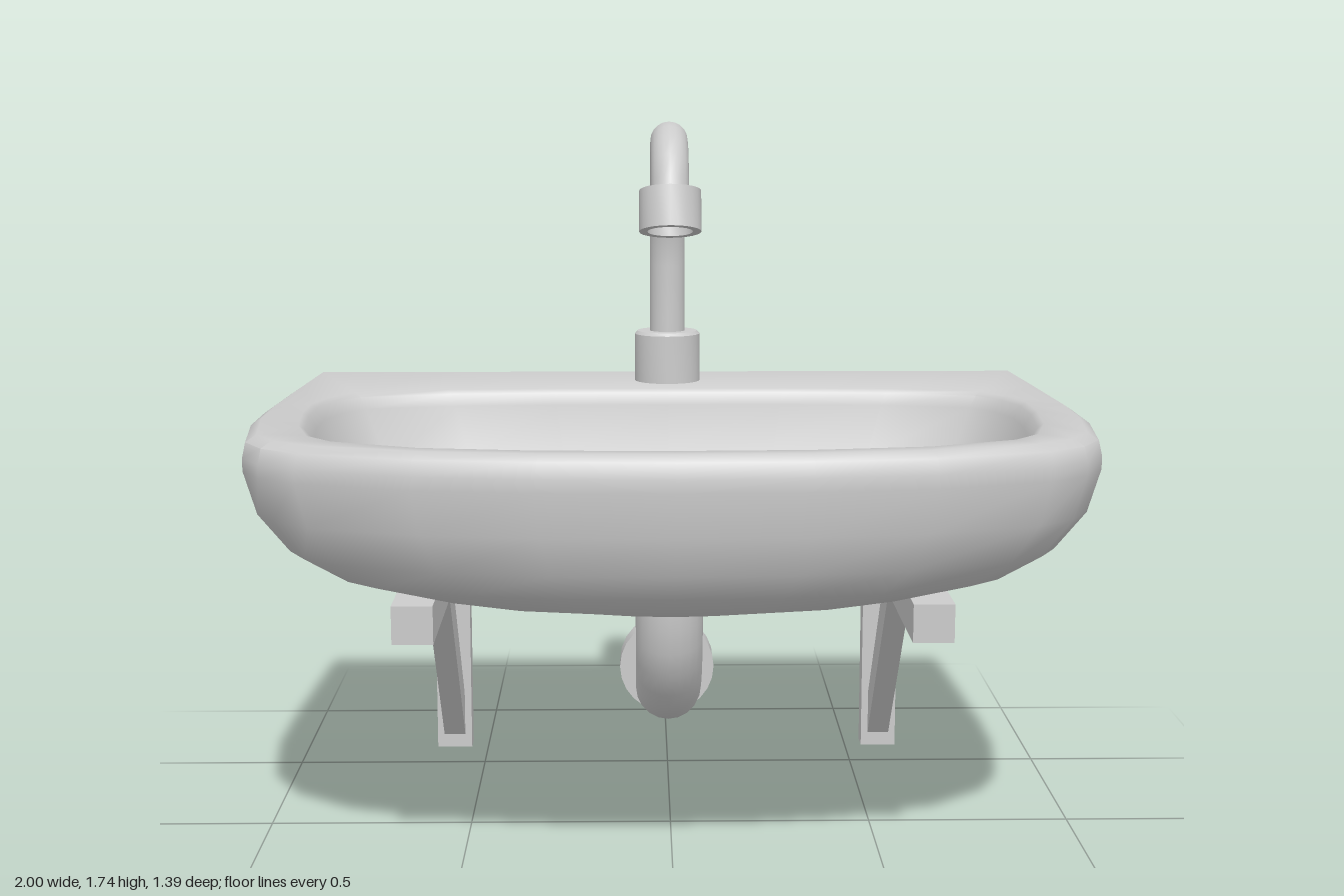
import * as THREE from 'three';
import { toCreasedNormals } from 'three/addons/utils/BufferGeometryUtils.js';

const material = new THREE.MeshStandardMaterial({ color: 0xcccccc });
const openMaterial = new THREE.MeshStandardMaterial({ color: 0xcccccc, side: THREE.DoubleSide });

function part(name, geometry, parent, mat = material) {
  const mesh = new THREE.Mesh(geometry, mat);
  mesh.name = name;
  parent.add(mesh);
  return mesh;
}

// Half outlines (x, z) from back centre round to front centre
const OUTER = [[0, -0.7], [0.3, -0.7], [0.6, -0.7], [0.97, -0.7], [0.985, -0.4], [1, -0.05], [1, 0.15],
  [0.97, 0.4], [0.92, 0.49], [0.83, 0.56], [0.57, 0.645], [0.3, 0.68], [0, 0.69]];
const OPENING = [[0, -0.36], [0.3, -0.36], [0.57, -0.345], [0.8, -0.29], [0.855, -0.21], [0.885, -0.1], [0.885, 0.05],
  [0.865, 0.25], [0.825, 0.4], [0.76, 0.48], [0.56, 0.57], [0.3, 0.61], [0, 0.62]];

// Full ring at height y; x scales about the middle, z is remapped by zMap
function ring(half, y, sx, zMap) {
  const right = half.map(([x, z]) => [x * sx, y, zMap(z)]);
  const left = right.slice(1, -1).reverse().map(([x, h, z]) => [-x, h, z]);
  return [...right, ...left];
}

function loft(rings) {
  const n = rings[0].length;
  const index = [];
  for (let i = 0; i < rings.length - 1; i++) {
    for (let j = 0; j < n; j++) {
      const k = (j + 1) % n;
      const a = i * n + j, b = i * n + k, c = a + n, d = b + n;
      index.push(a, c, b, b, c, d);
    }
  }
  const geometry = new THREE.BufferGeometry();
  geometry.setAttribute('position', new THREE.Float32BufferAttribute(rings.flat(2), 3));
  geometry.setIndex(index);
  return toCreasedNormals(geometry, 0.85);
}

function basinGeometry() {
  // Outer shell from the keel up: [x scale, height, front z]; the back stays flat
  const shell = [[0, 0.637, 0.4], [0.3, 0.645, 0.47], [0.6, 0.67, 0.55], [0.8, 0.72, 0.62], [0.9, 0.78, 0.66],
    [0.97, 0.87, 0.688], [1, 0.97, 0.695], [1, 1.0, 0.695], [0.993, 1.035, 0.685], [0.97, 1.05, 0.66]];
  const rings = shell.map(([s, y, front]) => ring(OUTER, y, s, z => -0.7 + (z + 0.7) * (front + 0.7) / 1.39));
  // Bowl from the opening down: [x scale, height, back z, front z]
  const bowl = [[1, 1.05, -0.36, 0.62], [0.985, 1.04, -0.35, 0.605], [0.965, 1.01, -0.343, 0.59],
    [0.9, 0.88, -0.318, 0.535], [0.875, 0.852, -0.305, 0.51], [0.45, 0.82, -0.25, 0.17], [0, 0.8, -0.18, -0.18]];
  for (const [s, y, back, front] of bowl) {
    rings.push(ring(OPENING, y, s, z => back + (z + 0.36) * (front - back) / 0.98));
  }
  return loft(rings);
}

function lathe(profile, sides = 24) {
  const points = profile.map(([r, y]) => new THREE.Vector2(r, y));
  return toCreasedNormals(new THREE.LatheGeometry(points, sides), 0.6);
}

function tube(points, segments, radius) {
  const curve = new THREE.CatmullRomCurve3(points.map(([y, z]) => new THREE.Vector3(0, y, z)));
  return new THREE.TubeGeometry(curve, segments, radius, 20);
}

function bracket(name, x) {
  const group = new THREE.Group();
  group.name = name;
  group.position.x = x;
  part('supportArm', new THREE.BoxGeometry(0.095, 0.09, 1.14), group).position.set(0, 0.62, -0.13);
  part('wallPost', new THREE.BoxGeometry(0.095, 0.575, 0.06), group).position.set(0, 0.2875, -0.67);
  // Diagonal brace, drawn in (-z, y) and turned into the side plane
  const shape = new THREE.Shape([[0.17, 0.58], [0.29, 0.58], [0.645, 0.15], [0.645, 0.03]]
    .map(([u, y]) => new THREE.Vector2(u, y)));
  const brace = new THREE.ExtrudeGeometry(shape, { depth: 0.058, bevelEnabled: false });
  brace.translate(0, 0, -0.029).rotateY(Math.PI / 2);
  part('diagonalBrace', brace, group);
  return group;
}

export function createModel() {
  const model = new THREE.Group();
  model.name = 'wallSink';

  part('basin', basinGeometry(), model);

  // Drain ring in the bowl and collar beneath it
  const drain = part('drainRing', lathe([[0.045, 0], [0.045, 0.025], [0.065, 0.025], [0.065, -0.02]]), model, openMaterial);
  drain.position.set(0, 0.802, -0.18);
  part('drainCollar', new THREE.CylinderGeometry(0.11, 0.11, 0.04, 24), model).position.set(0, 0.64, -0.18);

  // Waste pipe bending back to the wall
  part('wastePipe', tube([[0.64, -0.175], [0.5, -0.175], [0.39, -0.2], [0.29, -0.28], [0.242, -0.39],
    [0.235, -0.5], [0.235, -0.64]], 14, 0.086), model, openMaterial);
  const flange = part('wallFlange', lathe([[0.075, 0.02], [0.075, -0.01], [0.13, -0.01], [0.13, 0.07],
    [0.112, 0.07], [0.112, 0.02], [0.075, 0.02]]), model, openMaterial);
  flange.rotation.x = -Math.PI / 2;
  flange.position.set(0, 0.235, -0.63);

  // Swan-neck tap
  const tap = new THREE.Group();
  tap.name = 'tap';
  model.add(tap);
  part('tapBase', lathe([[0, 1.04], [0.086, 1.04], [0.086, 1.175], [0.079, 1.183], [0, 1.183]]), tap).position.z = -0.53;
  part('tapNeck', tube([[1.17, -0.53], [1.3, -0.53], [1.42, -0.525], [1.52, -0.5], [1.61, -0.445], [1.665, -0.36],
    [1.69, -0.25], [1.68, -0.16], [1.635, -0.09], [1.55, -0.045]], 20, 0.046), tap);
  const nozzle = part('tapNozzle', lathe([[0, -0.02], [0.055, -0.02], [0.055, -0.05], [0.075, -0.05],
    [0.075, 0.05], [0, 0.05]]), tap, openMaterial);
  nozzle.position.set(0, 1.526, -0.035);
  nozzle.rotation.x = -0.27;

  model.add(bracket('leftBracket', 0.593), bracket('rightBracket', -0.593));
  return model;
}
